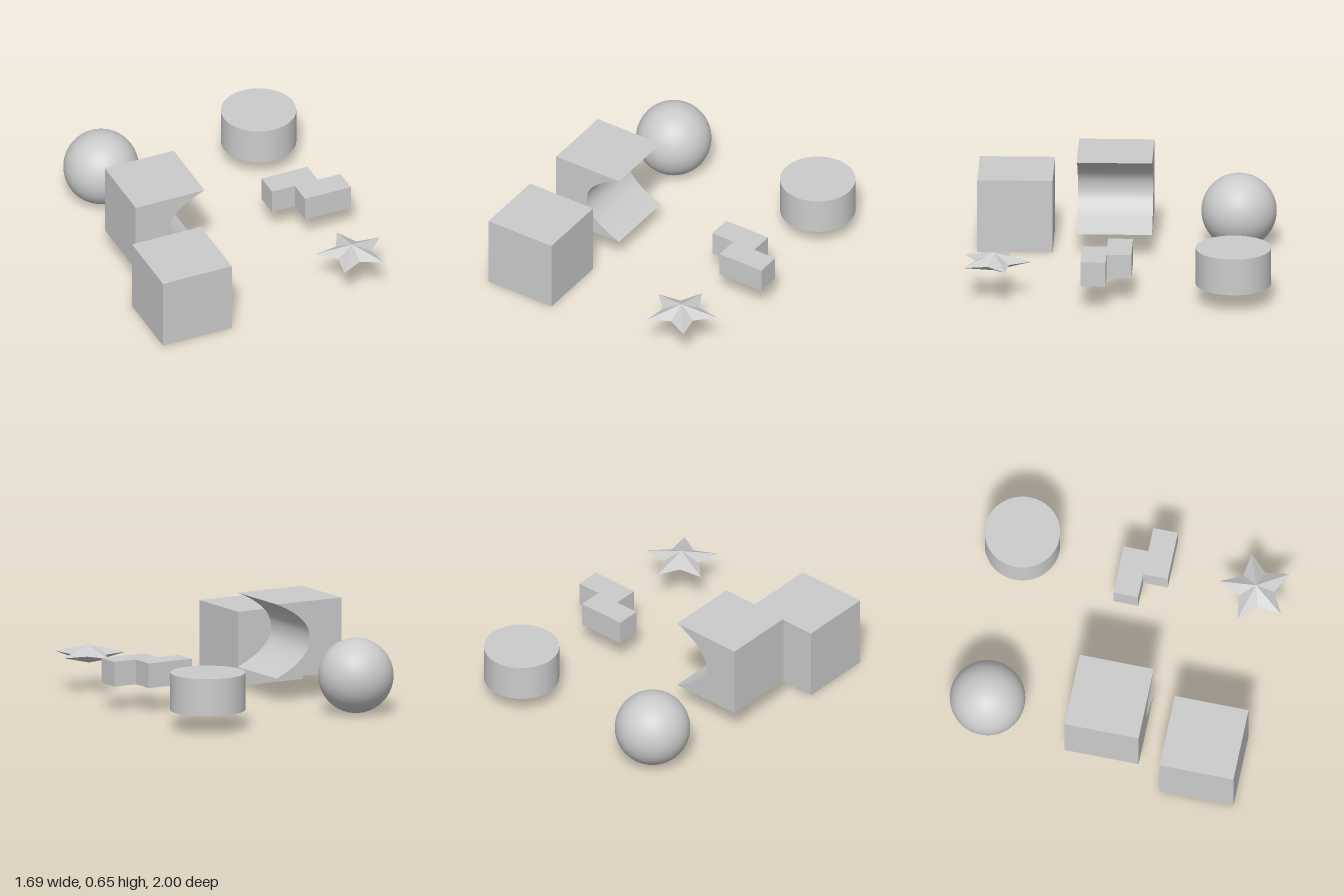
import * as THREE from 'three';
import { toCreasedNormals } from 'three/addons/utils/BufferGeometryUtils.js';

const grey = new THREE.MeshStandardMaterial({ color: 0xcccccc });
const greyFlat = new THREE.MeshStandardMaterial({ color: 0xcccccc, flatShading: true });

// Closed outline extruded along z, centred on z = 0
function prism(points, depth) {
  const shape = new THREE.Shape(points.map(([x, y]) => new THREE.Vector2(x, y)));
  return new THREE.ExtrudeGeometry(shape, { depth, bevelEnabled: false }).translate(0, 0, -depth / 2);
}

// Block whose +x side is scooped out by a curved channel running along z
function scoopedBlock(size, scoop, steps = 40) {
  const h = size / 2;
  const points = [[-h, h], [-h, -h]];
  for (let i = 0; i <= steps; i++) {
    const t = (i / steps) * 2 - 1;
    points.push([h - scoop * (1 - Math.abs(t) ** 2.25), t * h]);
  }
  return toCreasedNormals(prism(points, size), 0.6);
}

// S-shaped block of four unit cells, lying flat
function steppedBlock(u) {
  const outline = [[-1.5, 0], [-0.5, 0], [-0.5, -1], [1.5, -1], [1.5, 0], [0.5, 0], [0.5, 1], [-1.5, 1]];
  return prism(outline.map(([x, y]) => [x * u, y * u]), u).rotateX(-Math.PI / 2);
}

// Five-pointed star with a raised centre above and below
function starGeometry(outer, inner, height) {
  const rim = (i) => {
    const a = Math.PI + (i * Math.PI) / 5;
    const r = i % 2 ? inner : outer;
    return [r * Math.sin(a), 0, r * Math.cos(a)];
  };
  const pos = [];
  for (let i = 0; i < 10; i++) {
    pos.push(0, height, 0, ...rim(i), ...rim(i + 1));
    pos.push(0, -height, 0, ...rim(i + 1), ...rim(i));
  }
  const g = new THREE.BufferGeometry();
  g.setAttribute('position', new THREE.Float32BufferAttribute(pos, 3));
  g.computeVertexNormals();
  return g;
}

export function createModel() {
  const model = new THREE.Group();
  const add = (name, geometry, x, y, z, material = grey) => {
    const mesh = new THREE.Mesh(geometry, material);
    mesh.name = name;
    mesh.position.set(x, y, z);
    model.add(mesh);
  };

  // Left column, front to back
  add('cube', new THREE.BoxGeometry(0.49, 0.49, 0.49), -0.6, 0.245, 0.696);
  add('scoopedBlock', scoopedBlock(0.49, 0.25), -0.503, 0.405, 0.047);
  add('sphere', new THREE.SphereGeometry(0.245, 64, 40), -0.525, 0.245, -0.755);

  // Right column, front to back
  add('star', starGeometry(0.2435, 0.122, 0.061), 0.565, 0.248, 0.8, greyFlat);
  add('steppedBlock', steppedBlock(0.163), 0.566, 0.248, 0.069);
  add('cylinder', new THREE.CylinderGeometry(0.245, 0.245, 0.245, 64), 0.597, 0.248, -0.755);

  return model;
}
